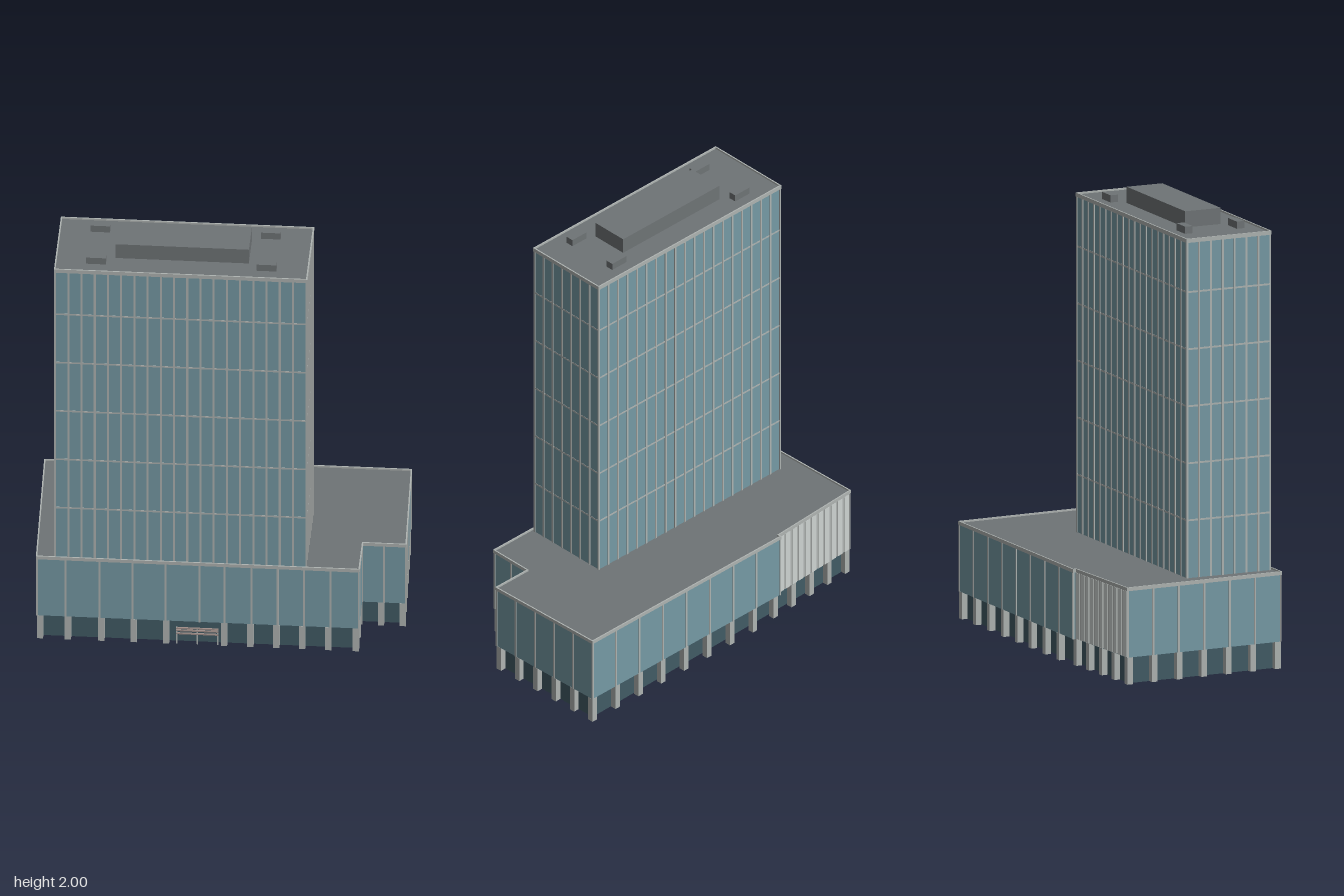
import * as THREE from 'three';

const mat = (name, color) => new THREE.MeshStandardMaterial({ name, color });

export function createModel() {
  const glass = mat('blue glass', 0x769aa5);
  const darkGlass = mat('dark ground floor glass', 0x415b65);
  const trim = mat('light grey trim', 0xafb4b2);
  const roof = mat('roof grey', 0x6f7476);
  const fin = mat('pale fin', 0xced4d2);
  const doorMetal = mat('door metal', 0xa08f8a);

  const model = new THREE.Group();
  model.name = 'officeTower';
  const sub = (name) => {
    const g = new THREE.Group();
    g.name = name;
    model.add(g);
    return g;
  };

  const add = (parent, name, geometry, material) => {
    const m = new THREE.Mesh(geometry, material);
    m.name = name;
    parent.add(m);
    return m;
  };

  // Box given by its limits on each axis
  const box = (parent, name, material, x0, x1, y0, y1, z0, z1) => {
    const m = add(parent, name, new THREE.BoxGeometry(x1 - x0, y1 - y0, z1 - z0), material);
    m.position.set((x0 + x1) / 2, (y0 + y1) / 2, (z0 + z1) / 2);
  };

  // Upright prism over an [x, z] outline, optionally hollow
  const prism = (parent, name, outline, y0, y1, cap, side, hole) => {
    const points = (list) => list.map(([x, z]) => new THREE.Vector2(x, -z));
    const shape = new THREE.Shape(points(outline));
    if (hole) shape.holes.push(new THREE.Path(points(hole)));
    const g = new THREE.ExtrudeGeometry(shape, { depth: y1 - y0, bevelEnabled: false });
    g.rotateX(-Math.PI / 2).translate(0, y0, 0);
    add(parent, name, g, [cap, side]);
  };

  // Outline moved inwards by d with mitred corners
  const inset = (outline, d) => {
    const n = outline.length;
    const normals = outline.map(([x, z], i) => {
      const [bx, bz] = outline[(i + 1) % n];
      return new THREE.Vector2(bz - z, x - bx).normalize();
    });
    return outline.map(([x, z], i) => {
      const p = normals[(i + n - 1) % n];
      const q = normals[i];
      const k = d / (1 + p.dot(q));
      return [x + (p.x + q.x) * k, z + (p.y + q.y) * k];
    });
  };

  // Box standing on the line a-b, centred at fraction t
  const onEdge = (parent, name, material, a, b, t, length, y0, y1, thick) => {
    const m = add(parent, name, new THREE.BoxGeometry(length, y1 - y0, thick), material);
    m.position.set(a[0] + (b[0] - a[0]) * t, (y0 + y1) / 2, a[1] + (b[1] - a[1]) * t);
    m.rotation.y = -Math.atan2(b[1] - a[1], b[0] - a[0]);
  };

  // Uprights along every edge; bays holds a count or a list of fractions per edge
  const uprights = (parent, name, material, outline, bays, width, y0, y1, thick) => {
    outline.forEach((a, i) => {
      const b = outline[(i + 1) % outline.length];
      const n = bays[i];
      const ts = Array.isArray(n) ? n : Array.from({ length: n }, (_, k) => k / n);
      ts.forEach((t) => onEdge(parent, name, material, a, b, t, width, y0, y1, thick));
    });
  };

  // Flat roof: raised rim around a lower deck
  const flatRoof = (parent, name, outline, y0, y1) => {
    const inner = inset(outline, 0.006);
    prism(parent, name + 'Coping', outline, y0, y1, trim, trim, inner);
    prism(parent, name + 'Deck', inner, y0, y1 - 0.008, roof, roof);
  };

  // Podium
  const plan = [
    [-0.795, 0.4], [0.62, 0.4], [0.62, 0.19], [0.81, 0.19],
    [0.79, -0.4], [-0.355, -0.4], [-0.355, -0.385], [-0.815, -0.36],
  ];
  const wall = inset(plan, 0.005);
  const frontBays = [-0.795, -0.67, -0.52, -0.375, -0.23, -0.08, 0.03, 0.148, 0.264, 0.38, 0.497]
    .map((x) => (x + 0.795) / 1.415);
  const podium = sub('podium');
  prism(podium, 'podiumGlass', wall, 0.12, 0.417, trim, glass);
  flatRoof(podium, 'podium', plan, 0.417, 0.433);
  uprights(podium, 'podiumMullion', trim, wall, [frontBays, 2, 2, 5, 8, 1, 1, 6], 0.009, 0.12, 0.417, 0.006);

  // Pale fins over the slanted part of the back wall
  const [finA, finB] = [wall[6], wall[7]];
  const finLength = Math.hypot(finB[0] - finA[0], finB[1] - finA[1]);
  onEdge(podium, 'finBacking', trim, finA, finB, 0.5, finLength, 0.122, 0.416, 0.003);
  for (let i = 0; i < 11; i++) {
    onEdge(podium, 'wallFin', fin, finA, finB, (i + 0.5) / 11, 0.03, 0.122, 0.416, 0.009);
  }

  // Recessed ground floor, open below
  const ground = sub('groundFloor');
  const recess = [[-0.764, 0.367], [0.587, 0.367], [0.587, 0.157], [0.776, 0.157], [0.757, -0.367], [-0.78, -0.332]];
  recess.forEach((a, i) => {
    const b = recess[(i + 1) % recess.length];
    const length = Math.hypot(b[0] - a[0], b[1] - a[1]);
    onEdge(ground, 'groundGlass', darkGlass, a, b, 0.5, length, 0, 0.12, 0.004);
  });
  const columnBays = [frontBays.filter((_, i) => i !== 5), 2, 2, 5, 8, [], 4, 6];
  uprights(ground, 'column', trim, inset(plan, 0.018), columnBays, 0.027, 0, 0.12, 0.028);

  // Entrance portal
  const entrance = sub('entrance');
  for (const x of [-0.18, -0.09, 0]) {
    box(entrance, 'doorPost', trim, x - 0.003, x + 0.003, 0, 0.084, 0.386, 0.392);
  }
  for (const y of [0.05, 0.066, 0.078]) {
    box(entrance, 'doorRail', doorMetal, -0.183, 0.003, y, y + 0.006, 0.387, 0.394);
  }

  // Tower
  const tower = sub('tower');
  const corners = (x0, x1, z0, z1) => [[x0, z1], [x1, z1], [x1, z0], [x0, z0]];
  const shaft = corners(-0.712, 0.385, -0.02, 0.382);
  prism(tower, 'towerGlass', shaft, 0.424, 1.918, roof, glass);
  flatRoof(tower, 'tower', inset(shaft, -0.005), 1.918, 1.936);
  uprights(tower, 'towerMullion', trim, shaft, [19, 7, 19, 7], 0.009, 0.425, 1.918, 0.007);
  for (let i = 0; i < 5; i++) {
    const y = 0.682 + i * 0.254;
    prism(tower, 'floorBand', inset(shaft, -0.001), y - 0.004, y + 0.004, trim, trim);
  }

  // Rooftop plant
  const plant = sub('rooftopPlant');
  box(plant, 'plantRoom', roof, -0.457, 0.126, 1.927, 2, 0.095, 0.267);
  for (const x of [-0.538, 0.207]) {
    for (const z of [0.053, 0.303]) {
      box(plant, 'roofUnit', roof, x - 0.043, x + 0.043, 1.927, 1.96, z - 0.018, z + 0.018);
    }
  }

  return model;
}
